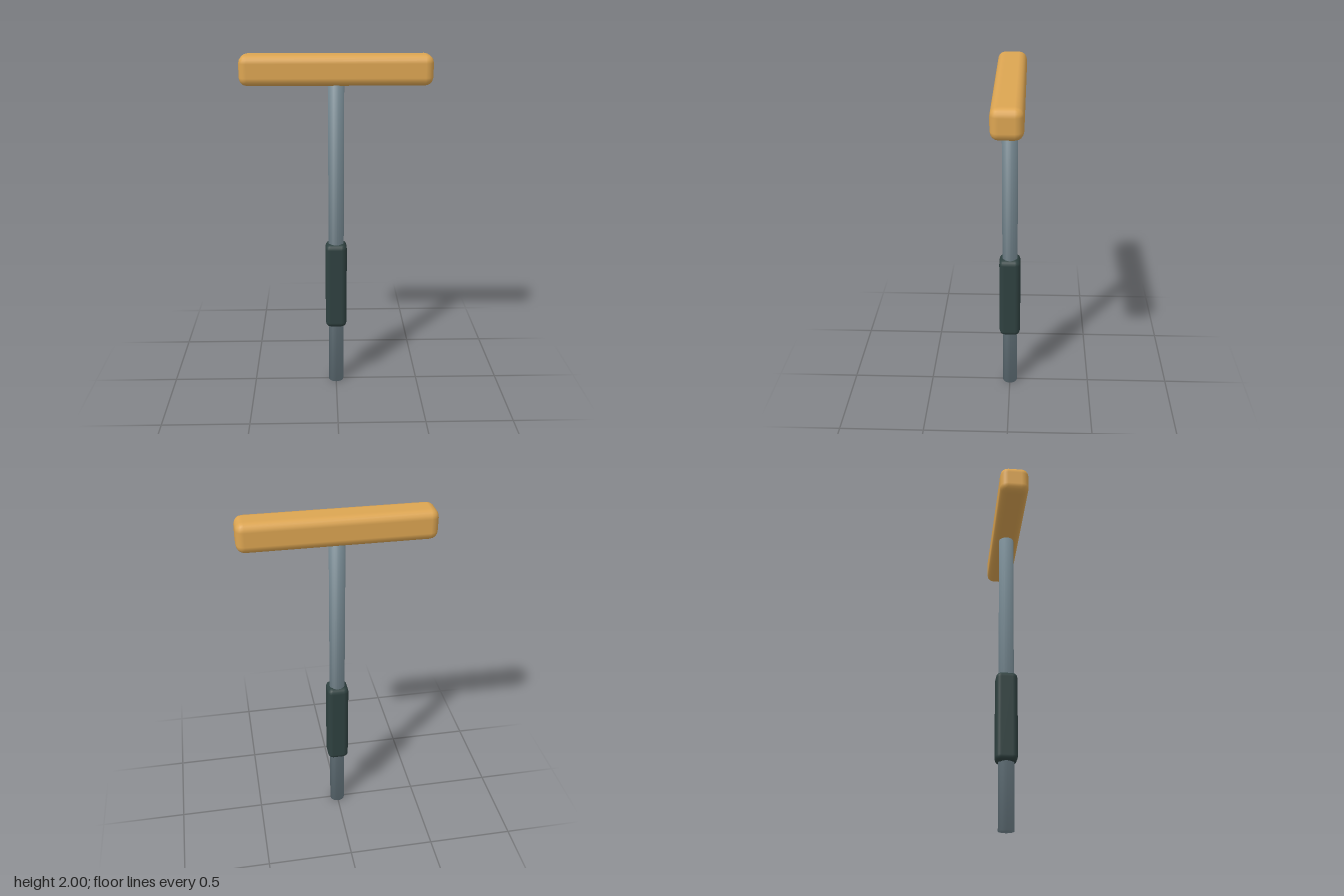
import * as THREE from 'three';
import { RoundedBoxGeometry } from 'three/addons/geometries/RoundedBoxGeometry.js';

function material(name, color) {
  const m = new THREE.MeshStandardMaterial({ color });
  m.name = name;
  return m;
}

// Cylinder whose smooth shading runs over the rims into the caps
function softRod(radius, height, sides) {
  const geo = new THREE.CylinderGeometry(radius, radius, height, sides);
  const pos = geo.attributes.position;
  const n = new THREE.Vector3();
  for (let i = 0; i < pos.count; i++) {
    n.set(pos.getX(i) / radius, Math.sign(pos.getY(i)) * 0.7, pos.getZ(i) / radius).normalize();
    geo.attributes.normal.setXYZ(i, n.x, n.y, n.z);
  }
  return geo;
}

export function createModel() {
  const model = new THREE.Group();
  model.name = 'tHandleTool';

  const wood = material('warm wood', 0xdca552);
  const steel = material('blue grey steel', 0x74868f);
  const rubber = material('dark green rubber', 0x2f4140);

  const add = (name, geometry, mat, y) => {
    const mesh = new THREE.Mesh(geometry, mat);
    mesh.name = name;
    mesh.position.y = y;
    model.add(mesh);
  };

  // Crossbar at the top
  add('handle', new RoundedBoxGeometry(1.06, 0.167, 0.167, 2, 0.045), wood, 1.9165);
  // Shaft running from the ground into the crossbar
  add('shaft', softRod(0.045, 1.9, 20), steel, 0.95);
  // Sleeve around the lower shaft
  add('sleeve', new RoundedBoxGeometry(0.125, 0.53, 0.125, 2, 0.031), rubber, 0.642);

  return model;
}
